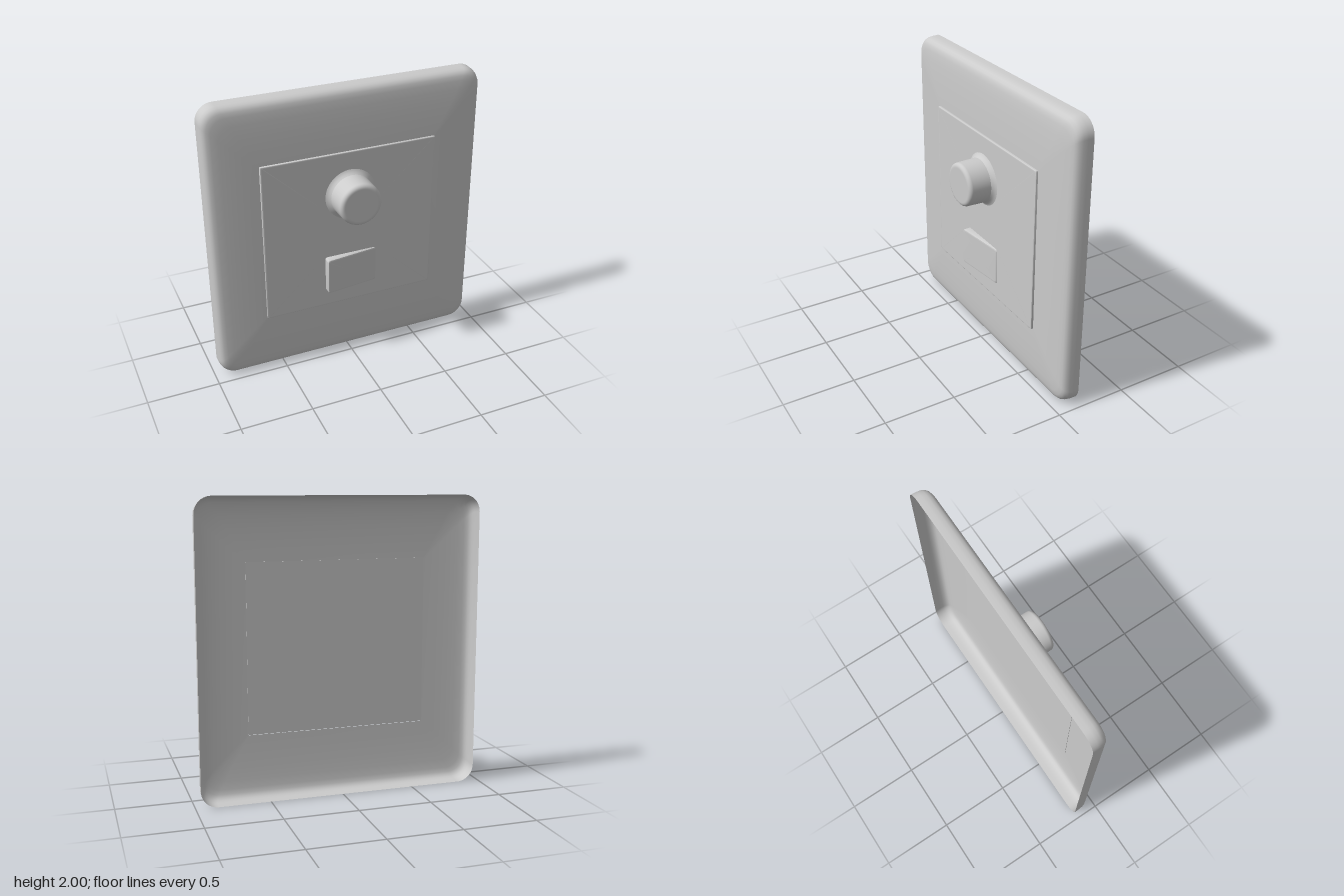
import * as THREE from 'three';
import { toCreasedNormals } from 'three/addons/utils/BufferGeometryUtils.js';

const material = new THREE.MeshStandardMaterial({ color: 0xcccccc, side: THREE.DoubleSide });

// Skin over rounded rectangles listed from back to front: { w, h: half sizes, r, z, tilt }
function loft(rings, seg) {
  const pos = [], index = [], n = 4 * (seg + 1);
  for (const { w, h, r, z, tilt = 0 } of rings) {
    for (let c = 0; c < 4; c++) {
      const sx = c === 0 || c === 3 ? 1 : -1, sy = c < 2 ? 1 : -1;
      for (let k = 0; k <= seg; k++) {
        const a = (c + k / seg) * Math.PI / 2;
        const x = sx * (w - r) + r * Math.cos(a);
        pos.push(x, sy * (h - r) + r * Math.sin(a), z - tilt * x);
      }
    }
  }
  for (let i = 0; i < rings.length - 1; i++) {
    for (let j = 0; j < n; j++) {
      const a = i * n + j, b = i * n + (j + 1) % n;
      index.push(a, b, b + n, a, b + n, a + n);
    }
  }
  const g = new THREE.BufferGeometry();
  g.setAttribute('position', new THREE.Float32BufferAttribute(pos, 3));
  g.setIndex(index);
  return toCreasedNormals(g, 0.65);
}

// Closed block: flat faces come from rings collapsed to the middle
function block(w, h, r, steps) {
  const middle = (z) => ({ w: 0, h: 0, r: 0, z });
  const rings = steps.map(([d, z, tilt]) => ({ w: w - d, h: h - d, r, z, tilt }));
  return loft([middle(steps[0][1]), ...rings, middle(steps.at(-1)[1])], 6);
}

function part(name, geometry, y) {
  const m = new THREE.Mesh(geometry, material);
  m.name = name;
  m.position.y = y;
  return m;
}

// Lathe around the z axis
function turned(points) {
  const g = new THREE.LatheGeometry(points.map(([r, z]) => new THREE.Vector2(r, z)), 64);
  return g.rotateX(Math.PI / 2);
}

export function createModel() {
  const group = new THREE.Group();
  const panelW = 0.618, panelH = 0.573;

  // Hollow cover plate: [inset fraction towards the opening, z]
  const profile = [[0, -0.168], [0.003, -0.13], [0.012, -0.1], [0.03, -0.079], [0.06, -0.064],
    [0.1, -0.055], [0.17, -0.049], [0.3, -0.044], [0.5, -0.039], [0.75, -0.035], [1, -0.033]];
  group.add(part('coverPlate', loft(profile.map(([f, z]) => ({
    w: THREE.MathUtils.lerp(0.965, panelW, f),
    h: THREE.MathUtils.lerp(1, panelH, f),
    r: THREE.MathUtils.lerp(0.115, 0.008, f), z,
  })), 10), 1));

  // Centre panel, a thin slab filling the opening
  group.add(part('centrePanel', block(panelW, panelH, 0.008,
    [[0, -0.036], [0, -0.021], [0.002, -0.018], [0.005, -0.017], [0.012, -0.017]]), 1.003));

  // Rocker switch, tilted so its right-hand edge stands proud
  group.add(part('rockerSwitch', block(0.188, 0.133, 0.016,
    [[0, -0.017, 0], [0.001, 0.006, 0.12], [0.004, 0.011, 0.12], [0.009, 0.0125, 0.12],
      [0.014, 0.0125, 0.12]]), 0.684));

  // Flared collar and the round knob
  group.add(part('knobCollar',
    turned([[0.181, -0.017], [0.173, -0.013], [0.165, -0.007], [0.157, 0.001], [0.151, 0.01]]), 1.268));
  const knob = [[0.151, -0.015], [0.15, 0.05], [0.148, 0.14]];
  for (let k = 1; k <= 6; k++) {
    const a = k / 6 * Math.PI / 2;
    knob.push([0.121 + 0.027 * Math.cos(a), 0.14 + 0.027 * Math.sin(a)]);
  }
  knob.push([0.115, 0.167], [0, 0.167]);
  group.add(part('knob', turned(knob), 1.268));

  return group;
}
